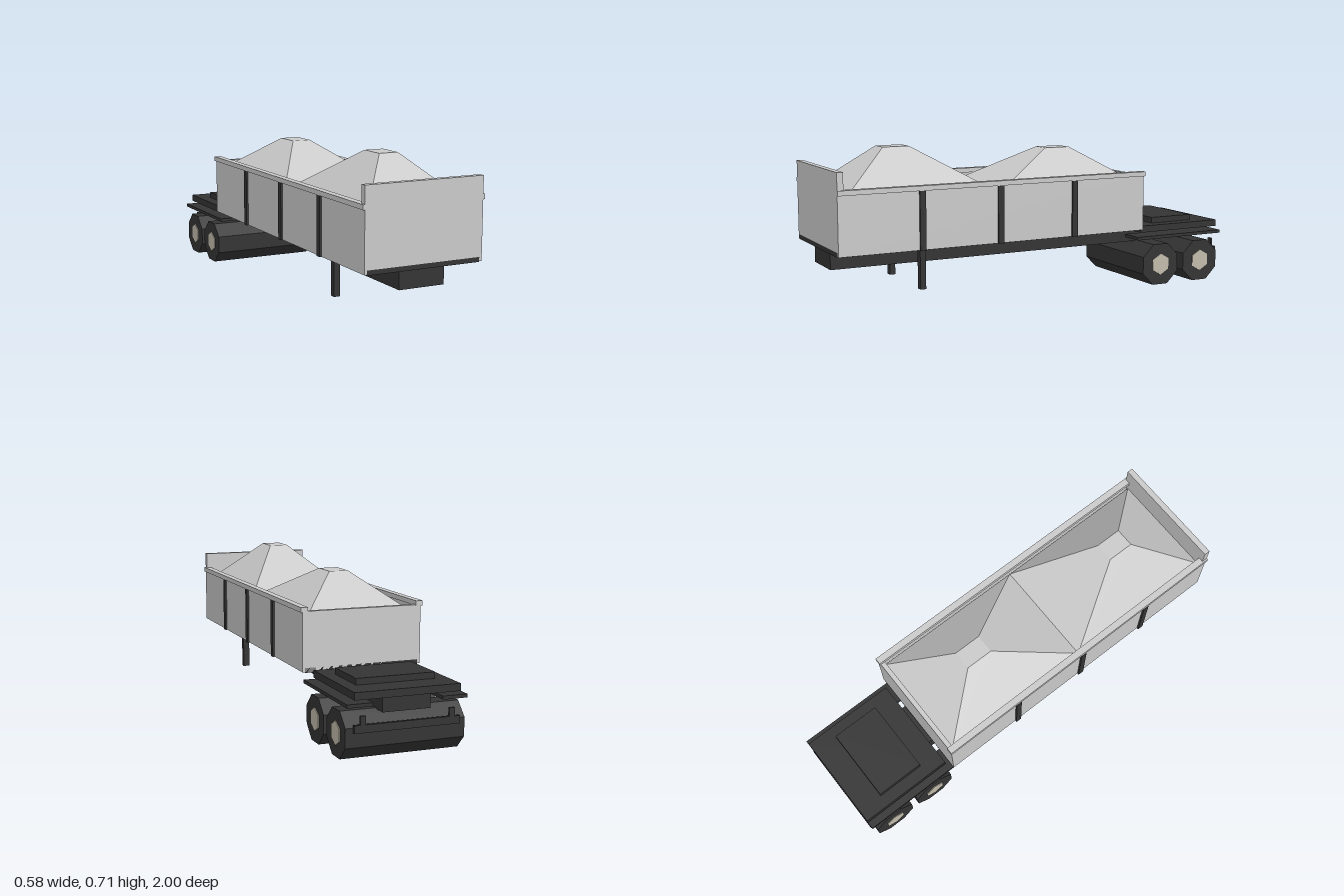
import * as THREE from 'three';

const paint = (name, color) => {
  const m = new THREE.MeshStandardMaterial({ color });
  m.name = name;
  return m;
};

export function createModel() {
  const light = paint('light grey', 0xcacaca);
  const dark = paint('dark grey', 0x343434);
  const beige = paint('hub beige', 0xc2bcac);
  const model = new THREE.Group();
  model.name = 'dumpTrailer';

  const add = (name, geometry, material, parent = model) => {
    const mesh = new THREE.Mesh(geometry, material);
    mesh.name = name;
    parent.add(mesh);
    return mesh;
  };
  const group = (name) => {
    const g = new THREE.Group();
    g.name = name;
    model.add(g);
    return g;
  };
  // Box given by its extents on each axis
  const box = (name, x0, x1, y0, y1, z0, z1, material, parent) => {
    const g = new THREE.BoxGeometry(x1 - x0, y1 - y0, z1 - z0);
    g.translate((x0 + x1) / 2, (y0 + y1) / 2, (z0 + z1) / 2);
    return add(name, g, material, parent);
  };
  // The same box on both sides of x = 0
  const pair = (name, x0, x1, y0, y1, z0, z1, material, parent) => {
    box(name + 'Left', x0, x1, y0, y1, z0, z1, material, parent);
    box(name + 'Right', -x1, -x0, y0, y1, z0, z1, material, parent);
  };

  // Open tub: floor, walls, top rails and side posts
  const tub = group('tub');
  box('floor', -0.267, 0.267, 0.277, 0.298, -0.53, 1, dark, tub);
  pair('sideWall', 0.267, 0.279, 0.28, 0.55, -0.53, 1, light, tub);
  box('frontWall', -0.267, 0.267, 0.298, 0.55, 0.972, 1, light, tub);
  box('headboard', -0.279, 0.279, 0.55, 0.64, 0.972, 1, light, tub);
  box('rearWall', -0.267, 0.267, 0.28, 0.545, -0.53, -0.508, light, tub);
  pair('topRail', 0.255, 0.287, 0.541, 0.563, -0.535, 1, light, tub);
  for (const z of [0.617, 0.238, -0.146]) {
    pair('sidePost', 0.279, 0.288, 0.279, 0.541, z - 0.014, z + 0.014, dark, tub);
  }

  // Load: two heaps, each a box tapered to a small flat top
  const heap = (name, z0, z1, topZ0, topZ1, topY) => {
    const g = new THREE.BoxGeometry(1, 1, 1);
    const p = g.attributes.position;
    for (let i = 0; i < p.count; i++) {
      const top = p.getY(i) > 0;
      const back = p.getZ(i) < 0;
      const z = top ? (back ? topZ0 : topZ1) : (back ? z0 : z1);
      p.setXYZ(i, Math.sign(p.getX(i)) * (top ? 0.045 : 0.257), top ? topY : 0.505, z);
    }
    g.computeVertexNormals();
    add(name, g, light);
  };
  heap('frontHeap', 0.23, 0.972, 0.58, 0.705, 0.714);
  heap('rearHeap', -0.51, 0.23, -0.25, -0.12, 0.675);

  // Chassis beam and landing legs
  box('chassisBeam', -0.107, 0.107, 0.195, 0.277, -0.985, 0.98, dark);
  pair('landingLeg', 0.17, 0.2, 0.087, 0.277, 0.57, 0.597, dark);

  // Rear deck, raised plate, mudguards and bumper
  const rear = group('rearDeck');
  box('deck', -0.235, 0.235, 0.258, 0.29, -1, -0.548, dark, rear);
  box('raisedPlate', -0.178, 0.178, 0.29, 0.318, -0.88, -0.65, dark, rear);
  pair('mudguard', 0.155, 0.267, 0.228, 0.243, -1, -0.51, dark, rear);
  box('bumper', -0.235, 0.235, 0.122, 0.155, -1, -0.985, dark, rear);
  pair('bumperBracket', 0.185, 0.21, 0.155, 0.192, -1, -0.99, dark, rear);

  // Eight-sided wheel rollers with thin hub plates
  const tyre = new THREE.CylinderGeometry(0.1082, 0.1082, 0.532, 8).toNonIndexed();
  tyre.rotateY(Math.PI / 8).rotateZ(Math.PI / 2);
  tyre.computeVertexNormals();
  const hub = new THREE.CylinderGeometry(0.052, 0.052, 0.006, 6).toNonIndexed();
  hub.rotateY(Math.PI / 2).rotateZ(Math.PI / 2);
  hub.computeVertexNormals();
  for (const z of [-0.645, -0.88]) {
    const axle = group('axle');
    axle.position.set(0, 0.1, z);
    add('wheels', tyre, dark, axle);
    add('hubLeft', hub, beige, axle).position.x = 0.2665;
    add('hubRight', hub, beige, axle).position.x = -0.2665;
  }
  return model;
}
